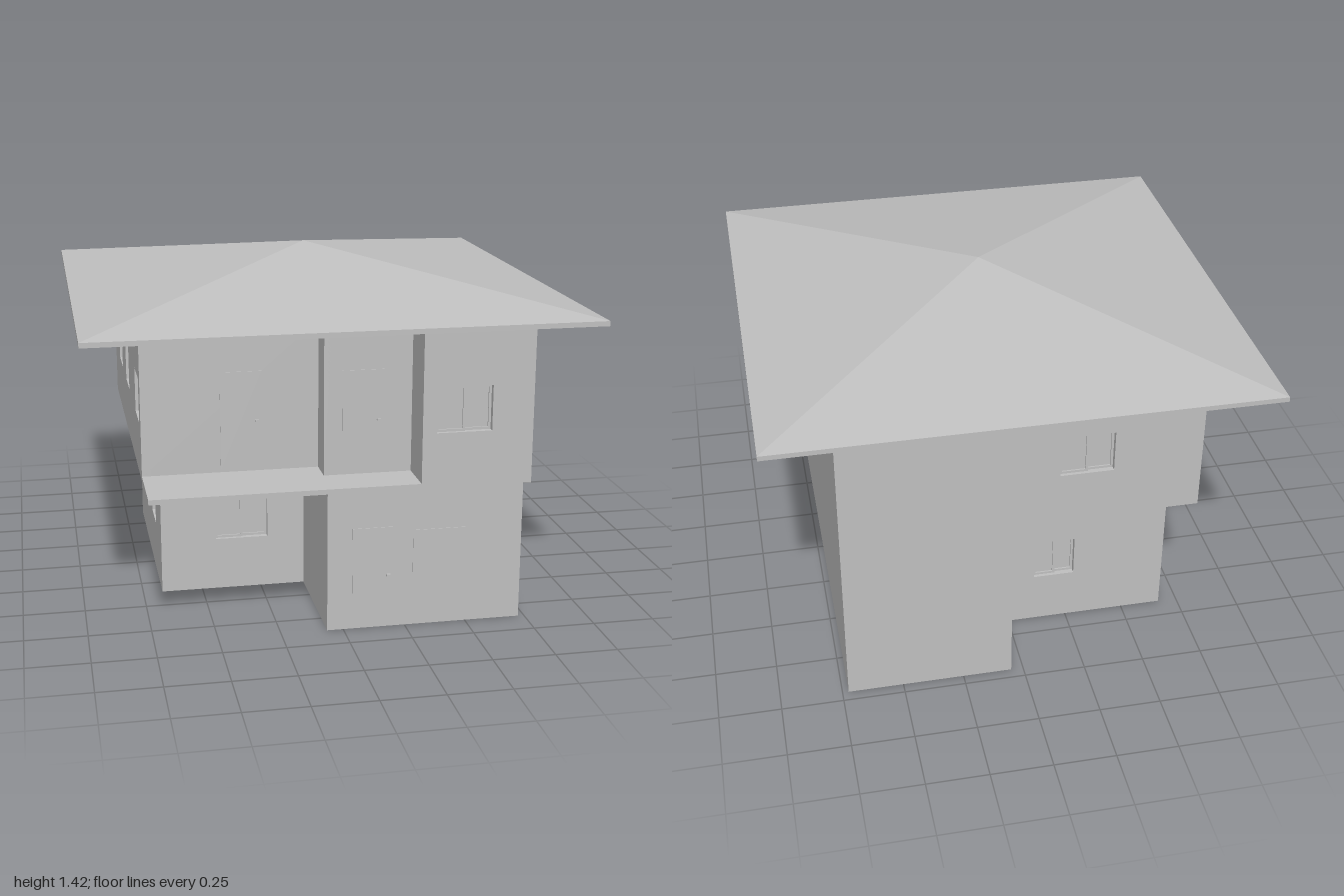
import * as THREE from 'three';

const T = 0.035; // wall thickness

export function createModel() {
  const house = new THREE.Group();
  house.name = 'house';
  const plaster = new THREE.MeshStandardMaterial({ color: 0xc0c0c0 });
  plaster.name = 'plain grey';

  function add(parent, name, geometry, x = 0, y = 0, z = 0) {
    const mesh = new THREE.Mesh(geometry, plaster);
    mesh.name = name;
    mesh.position.set(x, y, z);
    parent.add(mesh);
    return mesh;
  }

  function rectangle(path, x0, y0, x1, y1) {
    path.moveTo(x0, y0);
    path.lineTo(x1, y0);
    path.lineTo(x1, y1);
    path.lineTo(x0, y1);
    path.closePath();
    return path;
  }

  const extrude = (shape, depth) => new THREE.ExtrudeGeometry(shape, { depth, bevelEnabled: false });

  // Horizontal slab over a footprint of [x, z] corners
  function slab(name, corners, y0, y1) {
    const shape = new THREE.Shape(corners.map(([x, z]) => new THREE.Vector2(x, -z)));
    add(house, name, extrude(shape, y1 - y0).rotateX(-Math.PI / 2), 0, y0, 0);
  }

  // Two sliding sashes, one behind the other, set into a wall opening
  function slidingWindow(parent, x, y, w, h) {
    const half = w / 2 + 0.006, rail = 0.01;
    [[x, -0.022], [x + w - half, -0.03]].forEach(([sx, z]) => {
      const frame = rectangle(new THREE.Shape(), 0, 0, half, h);
      frame.holes.push(rectangle(new THREE.Path(), rail, rail, half - rail, h - rail));
      add(parent, 'windowSash', extrude(frame, 0.008), sx, y, z);
      add(parent, 'windowPane', new THREE.BoxGeometry(half, h, 0.003), sx + half / 2, y + h / 2, z);
    });
  }

  // Nearly flush door with a small knob
  function door(parent, x, y) {
    add(parent, 'door', new THREE.BoxGeometry(0.165, 0.4, 0.006), x + 0.0825, y + 0.2, 0);
    add(parent, 'doorKnob', new THREE.BoxGeometry(0.016, 0.008, 0.012), x + 0.145, y + 0.2, 0.006);
  }

  // Walls around a footprint; openings are [edge, start along edge, y, width, height]
  function storey(name, corners, y0, y1, openings, doors) {
    corners.forEach(([ax, az], i) => {
      const [bx, bz] = corners[(i + 1) % corners.length];
      const dx = bx - ax, dz = bz - az;
      const side = new THREE.Group();
      side.name = name + 'Side';
      side.position.set(ax, 0, az);
      side.rotation.y = Math.atan2(-dz, dx);
      house.add(side);
      const shape = rectangle(new THREE.Shape(), 0, y0, Math.hypot(dx, dz), y1);
      openings.filter(o => o[0] === i).forEach(([, s, y, w, h]) => {
        shape.holes.push(rectangle(new THREE.Path(), s, y, s + w, y + h));
        slidingWindow(side, s, y, w, h);
      });
      add(side, name, extrude(shape, T), 0, 0, -T);
      doors.filter(d => d[0] === i).forEach(([, s, y]) => door(side, s, y));
    });
  }

  const lower = [[-0.67, 0.355], [-0.065, 0.355], [-0.065, 0.87], [0.725, 0.87],
    [0.725, -0.955], [0.05, -0.955], [0.05, -0.66], [-0.67, -0.66]];
  const upper = [[-0.765, 0.675], [-0.065, 0.675], [-0.065, 0.79], [0.285, 0.79], [0.285, 0.96],
    [0.725, 0.96], [0.725, -0.955], [-0.065, -0.955], [-0.065, -0.766], [-0.765, -0.766]];
  const deck = [[-0.765, 0.96], ...upper.slice(5)];

  // Ground floor
  slab('groundSlab', lower, 0, 0.02);
  storey('groundWall', lower, 0, 0.6,
    [[0, 0.23, 0.22, 0.22, 0.18], [6, 0.16, 0.225, 0.17, 0.18], [7, 0.59, 0.22, 0.18, 0.18]],
    [[2, 0.1, 0.02]]);
  add(house, 'frontShutter', new THREE.BoxGeometry(0.22, 0.18, 0.006), 0.39, 0.31, 0.87);

  // Upper floor and balcony deck
  slab('balconyAndFloor', deck, 0.6, 0.62);
  storey('upperWall', upper, 0.62, 1.22,
    [[4 + 0, -1, 0, 0, 0]].filter(o => o[1] >= 0).concat([
      [8, 0.115, 0.82, 0.22, 0.18],
      [5 - 1, 0.055, 0.82, 0.22, 0.18],
      ...[0.276, 0.676, 1.196].map(s => [9, s, 0.82, 0.18, 0.18]),
    ]),
    [[0, 0.31, 0.625], [2, 0.072, 0.64]]);
  slab('ceiling', upper, 1.21, 1.22);

  // Low pyramid roof with a thin edge and a sloping underside
  const r = Math.SQRT2;
  const profile = [[0, 1.4], [r, 1.22], [r, 1.24], [0, 1.418]].map(p => new THREE.Vector2(...p));
  const roof = new THREE.LatheGeometry(profile, 4, Math.PI / 4).toNonIndexed();
  roof.computeVertexNormals();
  add(house, 'roof', roof);

  return house;
}
